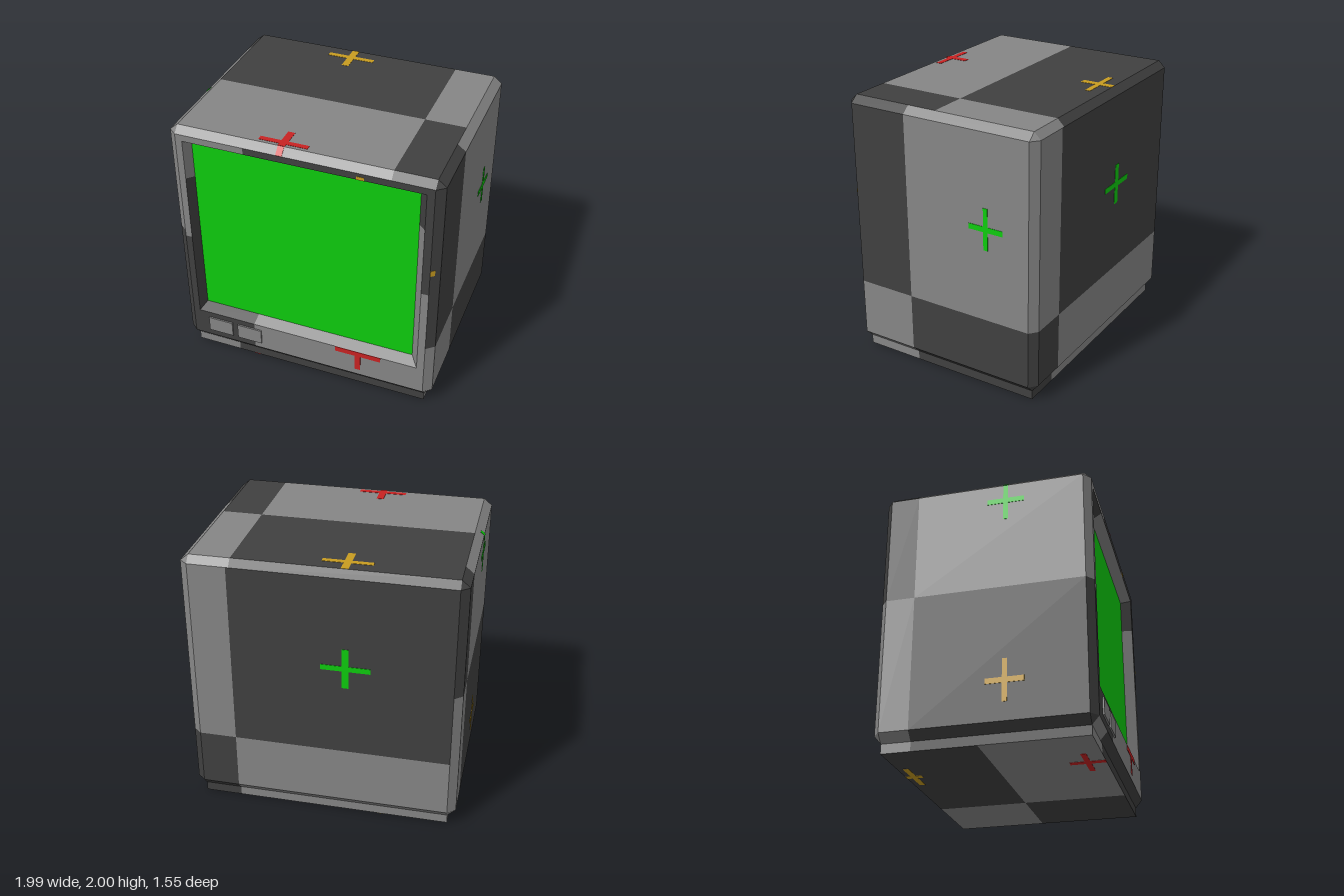
import * as THREE from 'three';

const mat = (name, color) => Object.assign(new THREE.MeshStandardMaterial({ color }), { name });

export function createModel() {
  const root = new THREE.Group();
  root.name = 'television';
  const light = mat('light grey', 0x868686), dark = mat('dark grey', 0x404040);
  const green = mat('green', 0x0dcb0d), red = mat('red', 0xc82222), gold = mat('gold', 0xc89c20);

  // Four-cornered panel (counterclockwise) checkered at coordinates su (along A-B) and sv (along A-D)
  function panel(name, [A, B, C, D], su, sv, lightFirst) {
    const a = new THREE.Vector3(...A), b = new THREE.Vector3(...B);
    const c = new THREE.Vector3(...C), d = new THREE.Vector3(...D);
    const at = (u, v) => a.clone().lerp(b, u).lerp(d.clone().lerp(c, u), v);
    const cuts = (s, P, Q) => {
      if (s === null) return [0, 1];
      const diff = P.map((p, i) => Math.abs(Q[i] - p));
      const k = diff.indexOf(Math.max(...diff));
      return [0, (s - P[k]) / (Q[k] - P[k]), 1];
    };
    const us = cuts(su, A, B), vs = cuts(sv, A, D), points = [[], []];
    for (let i = 0; i < us.length - 1; i++) for (let j = 0; j < vs.length - 1; j++) {
      const p = at(us[i], vs[j]), q = at(us[i + 1], vs[j]);
      const r = at(us[i + 1], vs[j + 1]), t = at(us[i], vs[j + 1]);
      points[(i + j + (lightFirst ? 0 : 1)) % 2].push(p, q, r, p, r, t);
    }
    points.forEach((list, i) => {
      if (!list.length) return;
      const geo = new THREE.BufferGeometry().setFromPoints(list);
      geo.computeVertexNormals();
      const mesh = new THREE.Mesh(geo, i ? dark : light);
      mesh.name = name + (i ? ' dark' : ' light');
      root.add(mesh);
    });
  }

  function box(name, material, size, pos, rot = [0, 0, 0]) {
    const mesh = new THREE.Mesh(new THREE.BoxGeometry(...size), material);
    mesh.name = name;
    mesh.position.set(...pos);
    mesh.rotation.set(...rot);
    root.add(mesh);
  }

  // Cabinet extents: capitals are outer planes, lower case the chamfer starts
  const X = 0.99, x = 0.93, Y0 = 0.07, y0 = 0.13, Y1 = 2, y1 = 1.95;
  const F = 0.76, f = 0.71, R = -0.77, r = -0.72;

  // Side walls with their chamfers, corners and plinth
  function side(name, s, zs, ys) {
    const [za, zb, ea, eb] = s > 0 ? [f, r, F, R] : [r, f, R, F];
    const o = s * X, n = s * x;
    panel(name, [[o, y0, za], [o, y0, zb], [o, y1, zb], [o, y1, za]], zs, ys, true);
    panel(name + ' top chamfer', [[o, y1, za], [o, y1, zb], [n, Y1, zb], [n, Y1, za]], zs, null, false);
    panel(name + ' bottom chamfer', [[n, Y0, za], [n, Y0, zb], [o, y0, zb], [o, y0, za]], zs, null, true);
    panel(name + ' chamfer', [[n, y0, ea], [o, y0, za], [o, y1, za], [n, y1, ea]], null, ys, true);
    panel(name + ' chamfer', [[o, y0, zb], [n, y0, eb], [n, y1, eb], [o, y1, zb]], null, ys, false);
    panel(name + ' plinth', [[n, 0, za], [n, 0, zb], [n, Y0, zb], [n, Y0, za]], zs, null, true);
    const corner = (p, q, t, isLight) => panel(name + ' corner', [p, q, t, t], null, null, isLight);
    corner([n, y1, ea], [o, y1, za], [n, Y1, za], false);
    corner([o, y1, zb], [n, y1, eb], [n, Y1, zb], true);
    corner([n, y0, ea], [n, Y0, za], [o, y0, za], true);
    corner([o, y0, zb], [n, Y0, zb], [n, y0, eb], false);
  }
  side('left side', 1, 0.265, 0.565);
  side('right side', -1, -0.51, 1.12);

  // Top, back and underside
  panel('top', [[-x, Y1, f], [x, Y1, f], [x, Y1, r], [-x, Y1, r]], 0.635, 0.045, true);
  panel('front top chamfer', [[-x, y1, F], [x, y1, F], [x, Y1, f], [-x, Y1, f]], 0.635, null, true);
  panel('back top chamfer', [[x, y1, R], [-x, y1, R], [-x, Y1, r], [x, Y1, r]], 0.635, null, true);
  panel('back', [[x, y0, R], [-x, y0, R], [-x, y1, R], [x, y1, R]], 0.655, 0.565, false);
  panel('back bottom chamfer', [[x, Y0, r], [-x, Y0, r], [-x, y0, R], [x, y0, R]], 0.655, null, false);
  panel('back plinth', [[x, 0, r], [-x, 0, r], [-x, Y0, r], [x, Y0, r]], 0.655, null, false);
  panel('front bottom chamfer', [[-x, Y0, f], [x, Y0, f], [x, y0, F], [-x, y0, F]], -0.64, null, true);
  panel('front plinth', [[-x, 0, f], [x, 0, f], [x, Y0, f], [-x, Y0, f]], -0.58, null, true);
  panel('underside', [[-x, 0, r], [x, 0, r], [x, 0, f], [-x, 0, f]], 0.355, -0.05, false);

  // Bezel around the screen opening
  const hl = -0.88, hr = 0.875, hb = 0.355, ht = 1.9;
  const rect = (l, b, w, t) => [[l, b, F], [w, b, F], [w, t, F], [l, t, F]];
  panel('bezel top', rect(-x, ht, x, y1), -0.42, null, true);
  panel('bezel bottom', rect(-x, y0, x, hb), -0.42, null, false);
  panel('bezel right', rect(-x, hb, hl, ht), null, 1.07, false);
  panel('bezel left', rect(hr, hb, x, ht), null, 1.07, true);

  // Sloped recess leading to the screen
  const sl = -0.85, sr = 0.815, sb = 0.395, st = 1.86, S = 0.68;
  panel('recess bottom', [[hl, hb, F], [hr, hb, F], [sr, sb, S], [sl, sb, S]], -0.42, null, false);
  panel('recess top', [[sl, st, S], [sr, st, S], [hr, ht, F], [hl, ht, F]], -0.525, null, false);
  panel('recess right', [[hl, hb, F], [sl, sb, S], [sl, st, S], [hl, ht, F]], null, 1.59, false);
  panel('recess left', [[sr, sb, S], [hr, hb, F], [hr, ht, F], [sr, st, S]], null, 1.59, true);
  const screen = new THREE.Mesh(new THREE.PlaneGeometry(sr - sl, st - sb), green);
  screen.name = 'screen';
  screen.position.set((sl + sr) / 2, (sb + st) / 2, S);
  root.add(screen);

  // Buttons
  for (const bx of [-0.7025, -0.46]) box('button', light, [0.197, 0.125, 0.02], [bx, 0.2475, F + 0.002]);

  // Painted crosses, each made of two thin bars
  const T = 0.006;
  for (const [m, z, v0, v1] of [[gold, -0.61, -0.72, -0.475], [red, 0.665, 0.53, 0.71]]) {
    box('top cross bar', m, [0.355, T, 0.04], [-0.155, Y1 - 0.001, z]);
    box('top cross bar', m, [0.052, T, v1 - v0], [-0.155, Y1 - 0.001, (v0 + v1) / 2]);
  }
  for (const [m, z] of [[gold, -0.66], [red, 0.585]]) {
    box('underside cross bar', m, [0.355, T, 0.04], [-0.43, 0.001, z]);
    box('underside cross bar', m, [0.05, T, m === gold ? 0.12 : 0.25], [-0.43, 0.001, m === gold ? -0.66 : z]);
  }
  for (const [m, s, y, z, top] of [[green, 1, 1.26, -0.385, 1.415], [green, -1, 1.82, 0.147, y1],
    [gold, -1, 0.42, 0.147, 0.575]]) {
    box('side cross bar', m, [T, 0.04, 0.27], [s * X, y, z]);
    box('side cross bar', m, [T, top - y + 0.155, 0.035], [s * X, (top + y - 0.155) / 2, z]);
  }
  box('back cross bar', green, [0.355, 0.04, T], [-0.17, 1.26, R]);
  box('back cross bar', green, [0.05, 0.31, T], [-0.17, 1.26, R]);
  box('front cross bar', red, [0.355, 0.042, T], [0.42, 0.334, F]);
  box('front cross bar', red, [0.045, 0.175, T], [0.42, 0.2675, F]);
  box('front cross tip', gold, [0.052, 0.025, T], [0.422, 1.9125, F]);

  // Cross ends that run over the chamfers
  box('front chamfer cross end', red, [0.046, 0.07, T], [-0.155, 1.975, 0.735], [-Math.PI / 4, 0, 0]);
  box('side chamfer cross end', green, [T, 0.04, 0.035], [-0.978, 1.96, 0.147], [0, 0, -0.88]);
  box('corner chamfer cross end', gold, [0.035, 0.045, T], [0.944, 1.26, 0.748], [0, 0.695, 0]);
  return root;
}
